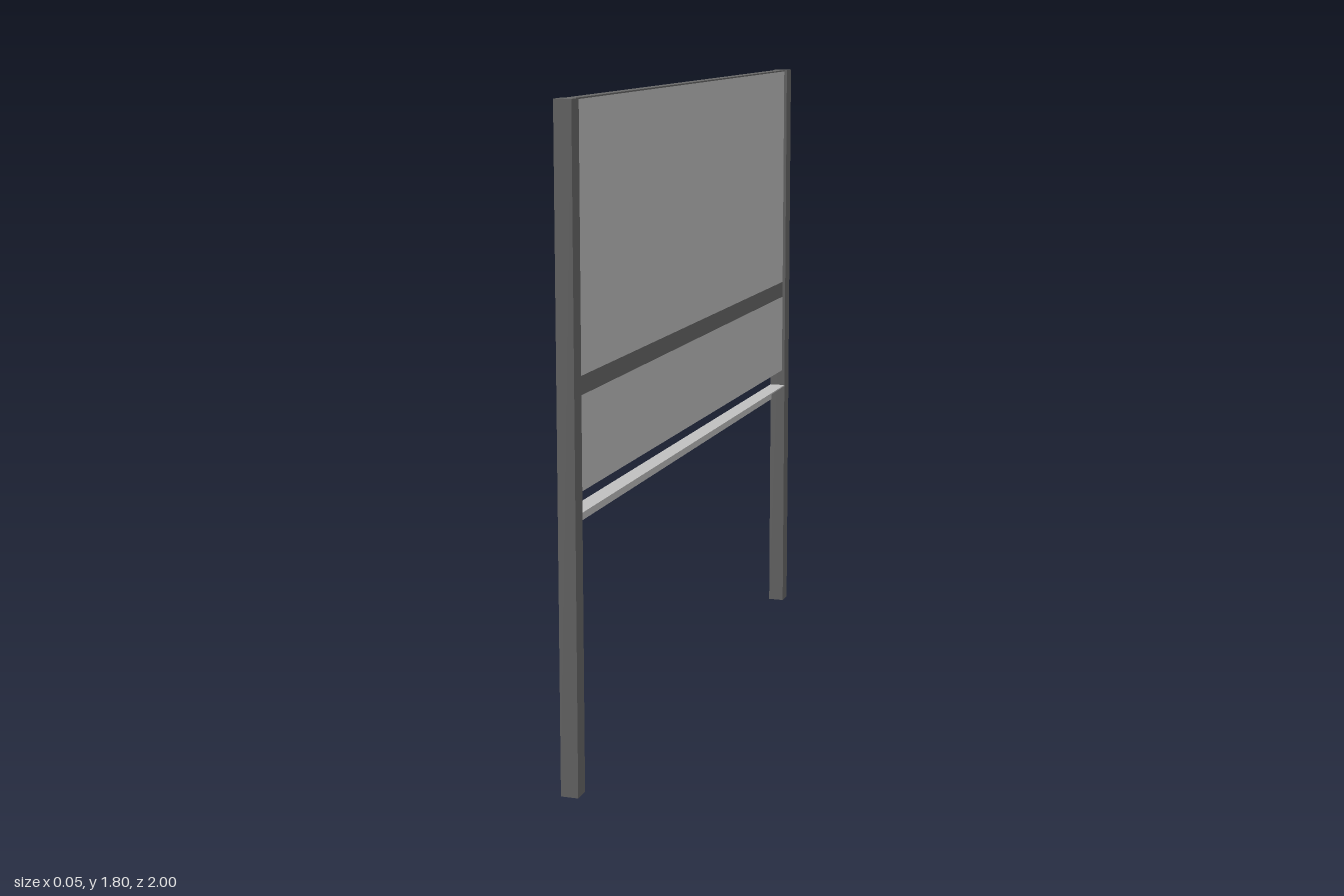
import * as THREE from 'three';

export function createModel() {
  const model = new THREE.Group();
  const dark = new THREE.MeshStandardMaterial({ color: 0x686868 });
  dark.name = 'dark grey';
  const light = new THREE.MeshStandardMaterial({ color: 0xc0c0c0 });
  light.name = 'light grey';

  // Box given by its width, length along z, and bottom and top heights
  function bar(name, material, width, length, y0, y1, x = 0, z = 0) {
    const mesh = new THREE.Mesh(new THREE.BoxGeometry(width, y1 - y0, length), material);
    mesh.name = name;
    mesh.position.set(x, (y0 + y1) / 2, z);
    model.add(mesh);
  }

  const post = 0.048, panel = 0.03, span = 1.9, sheet = 0.004;

  // Upright posts at both ends
  bar('frontPost', dark, post, 0.05, 0, 1.8, 0, 0.975);
  bar('backPost', dark, post, 0.05, 0, 1.8, 0, -0.975);

  // Board: two light panels split by a dark band, with a dark cap
  bar('lowerPanel', light, panel, span, 0.8, 1.05);
  bar('middleBand', dark, panel, span, 1.05, 1.1);
  bar('upperPanel', light, panel, span, 1.1, 1.8 - sheet);
  bar('topCap', dark, panel, span, 1.8 - sheet, 1.8);

  // Angle rail below the board: flat shelf and a downturned flange
  bar('railShelf', light, post, span, 0.75 - sheet, 0.75);
  bar('railFlange', light, sheet, span, 0.7, 0.75 - sheet, -(post - sheet) / 2);

  return model;
}
